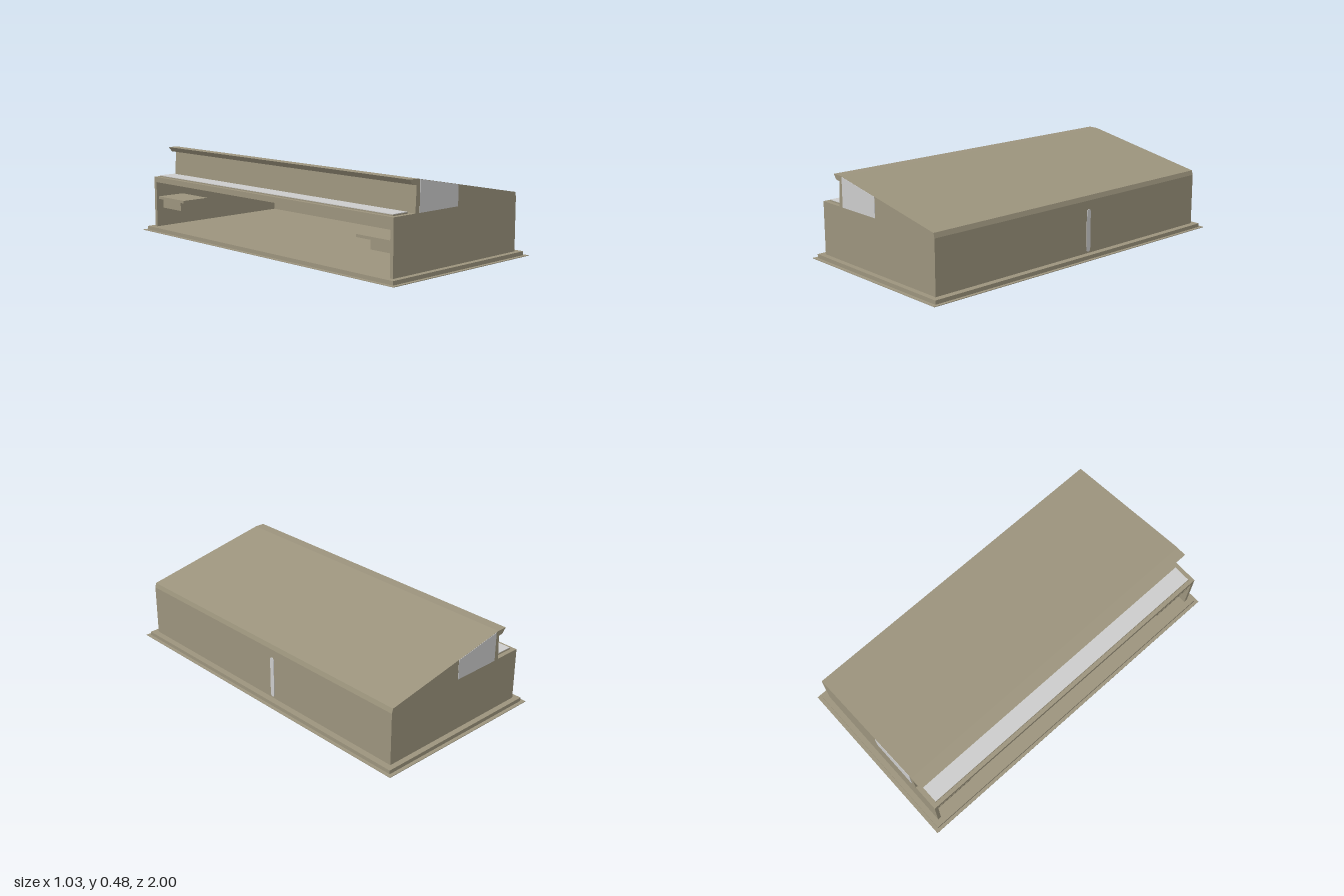
import * as THREE from 'three';

const olive = new THREE.MeshStandardMaterial({ color: 0x9c947d });
olive.name = 'olive shell';
const pale = new THREE.MeshStandardMaterial({ color: 0xcccccc });
pale.name = 'pale glazing';

export function createModel() {
  const model = new THREE.Group();

  const add = (name, geometry, material) => {
    const mesh = new THREE.Mesh(geometry, material);
    mesh.name = name;
    model.add(mesh);
    return mesh;
  };
  const box = (name, x0, x1, y0, y1, z0, z1, material = olive) => {
    const m = add(name, new THREE.BoxGeometry(x1 - x0, y1 - y0, z1 - z0), material);
    m.position.set((x0 + x1) / 2, (y0 + y1) / 2, (z0 + z1) / 2);
    return m;
  };
  // extrude an x-y outline from z0 to z1
  const extrude = (name, points, z0, z1, material = olive) => {
    const shape = new THREE.Shape(points.map(([x, y]) => new THREE.Vector2(x, y)));
    const geo = new THREE.ExtrudeGeometry(shape, { depth: z1 - z0, bevelEnabled: false });
    geo.translate(0, 0, z0);
    return add(name, geo, material);
  };

  // thin skirt round the foot, then the raised plinth
  const skirt = new THREE.Shape([[-0.515, -1], [0.515, -1], [0.515, 1], [-0.515, 1]]
    .map(p => new THREE.Vector2(...p)));
  skirt.holes.push(new THREE.Path([[-0.475, -0.96], [-0.475, 0.96], [0.475, 0.96], [0.475, -0.96]]
    .map(p => new THREE.Vector2(...p))));
  const skirtGeo = new THREE.ExtrudeGeometry(skirt, { depth: 0.003, bevelEnabled: false });
  skirtGeo.rotateX(-Math.PI / 2);
  add('skirt', skirtGeo, olive);
  box('plinth', -0.497, 0.497, 0.003, 0.024, -0.98, 0.98);

  // outer cross-section: back wall, sloping roof, eave, upper wall, counter
  const outline = [
    [0.462, 0.024], [0.462, 0.312], [0.455, 0.338], [-0.3, 0.48], [-0.358, 0.48],
    [-0.337, 0.454], [-0.308, 0.449], [-0.315, 0.315], [-0.465, 0.315],
  ];
  const inside = [[-0.465, 0.285], [-0.3, 0.285], [-0.29, 0.455], [0.44, 0.318], [0.44, 0.024]];
  extrude('shell', [...outline, ...inside], -0.93, 0.93);

  // end walls with side windows and inner shelves
  const windowOutline = [[-0.285, 0.315], [-0.005, 0.315], [-0.005, 0.4235], [-0.285, 0.476]];
  for (const s of [1, -1]) {
    const span = (a, b) => (s > 0 ? [a, b] : [-b, -a]);
    extrude('endWall', [...outline, [-0.465, 0.024]], ...span(0.93, 0.95));
    extrude('sideWindow', windowOutline, ...span(0.948, 0.952), pale);
    box('shelf', -0.45, -0.28, 0.185, 0.2, ...span(0.69, 0.93));
    box('shelfBracket', -0.42, -0.3, 0.13, 0.185, ...span(0.76, 0.93));
  }

  // raised counter tray with a pale top
  box('counterTray', -0.443, -0.34, 0.315, 0.321, -0.925, 0.925);
  box('counterTop', -0.441, -0.342, 0.321, 0.324, -0.923, 0.923, pale);

  // tall rounded slot light on the back wall
  const r = 0.0135;
  const slot = new THREE.Shape();
  slot.absarc(0, 0.265 - r, r, 0, Math.PI);
  slot.absarc(0, 0.032 + r, r, Math.PI, Math.PI * 2);
  slot.closePath();
  const slotGeo = new THREE.ExtrudeGeometry(slot, { depth: 0.004, bevelEnabled: false, curveSegments: 8 });
  slotGeo.rotateY(Math.PI / 2);
  slotGeo.translate(0.461, 0, -0.086);
  add('slotLight', slotGeo, pale);

  return model;
}
